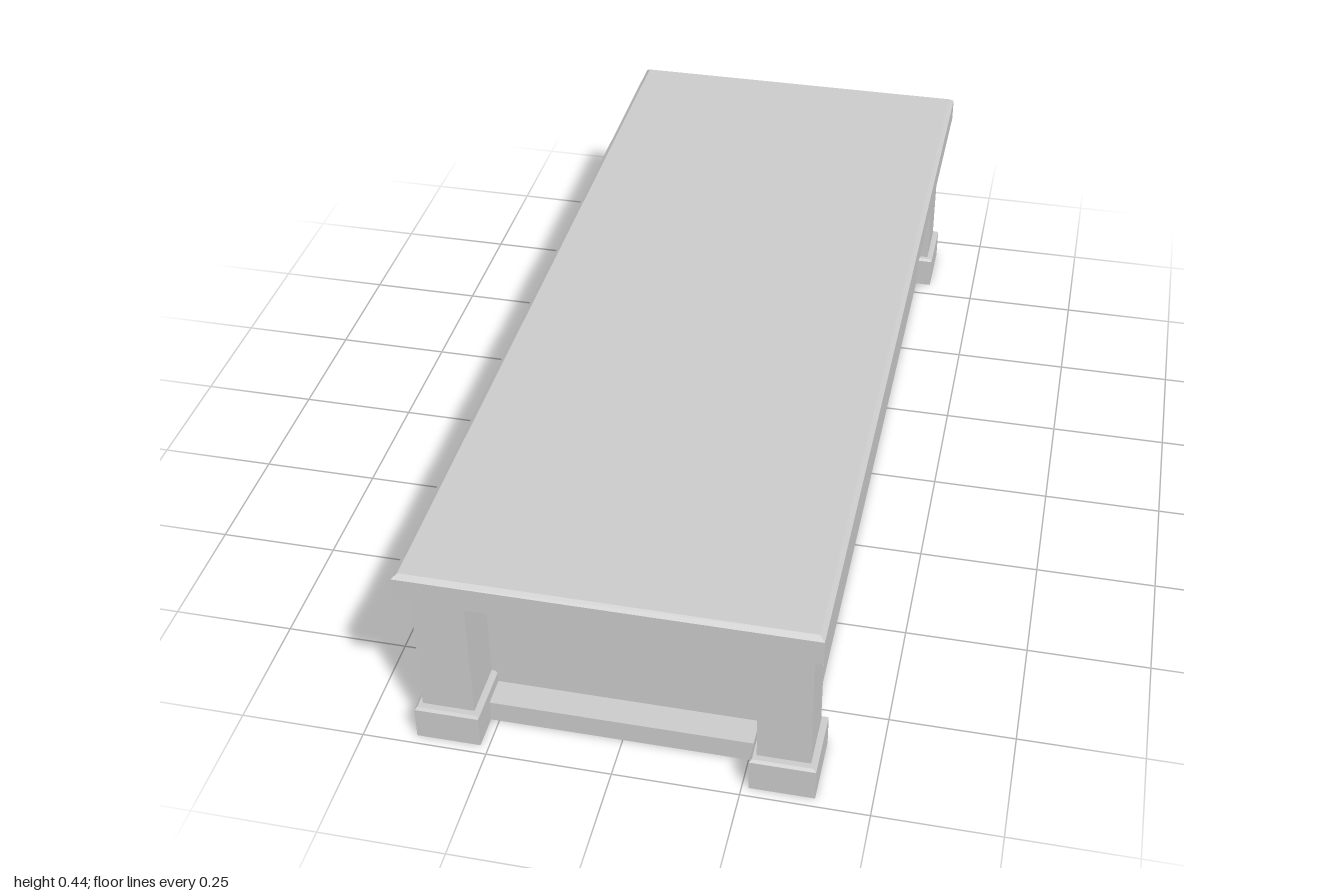
import * as THREE from 'three';

const material = new THREE.MeshStandardMaterial({ color: 0xcccccc, flatShading: true });

// Block given by its limits; an optional bevel slopes the top rim inwards.
function block(name, [x0, x1], [y0, y1], [z0, z1], bevel = 0, inset = bevel) {
  const w = x1 - x0, h = y1 - y0, d = z1 - z0;
  const geometry = new THREE.BoxGeometry(w, h, d, 1, bevel ? 2 : 1, 1);
  const p = geometry.attributes.position;
  if (bevel) {
    for (let i = 0; i < p.count; i++) {
      const y = p.getY(i);
      if (Math.abs(y) < 1e-6) {
        p.setY(i, h / 2 - bevel); // middle ring becomes the bevel's lower edge
      } else if (y > 0) {
        p.setX(i, p.getX(i) - Math.sign(p.getX(i)) * inset);
        p.setZ(i, p.getZ(i) - Math.sign(p.getZ(i)) * inset);
      }
    }
    geometry.computeVertexNormals();
  }
  const mesh = new THREE.Mesh(geometry, material);
  mesh.name = name;
  mesh.position.set((x0 + x1) / 2, (y0 + y1) / 2, (z0 + z1) / 2);
  return mesh;
}

export function createModel() {
  const group = new THREE.Group();
  group.name = 'pedestalChest';

  // Overhanging slab with a fine bevel round its top
  group.add(block('topSlab', [-0.4, 0.4], [0.375, 0.435], [-1, 1], 0.008, 0.01));

  // Recessed body and the low plinth that forms a ledge around it
  group.add(block('body', [-0.336, 0.332], [0.04, 0.376], [-0.83, 0.85]));
  group.add(block('plinth', [-0.36, 0.356], [0, 0.047], [-0.89, 0.91]));

  // Corner posts, each standing on a wider bevelled foot
  const cx = -0.002, cz = 0.0215;
  for (const sx of [-1, 1]) {
    for (const sz of [-1, 1]) {
      const span = (c, s, a, b) => [c + s * a, c + s * b].sort((m, n) => m - n);
      const corner = new THREE.Group();
      corner.name = (sz > 0 ? 'front' : 'back') + (sx > 0 ? 'Left' : 'Right') + 'Corner';
      corner.add(
        block('post', span(cx, sx, 0.277, 0.381), [0.07, 0.376], span(cz, sz, 0.827, 0.9415)),
        block('foot', span(cx, sx, 0.265, 0.3935), [0, 0.075], span(cz, sz, 0.813, 0.9585), 0.005)
      );
      group.add(corner);
    }
  }
  return group;
}
